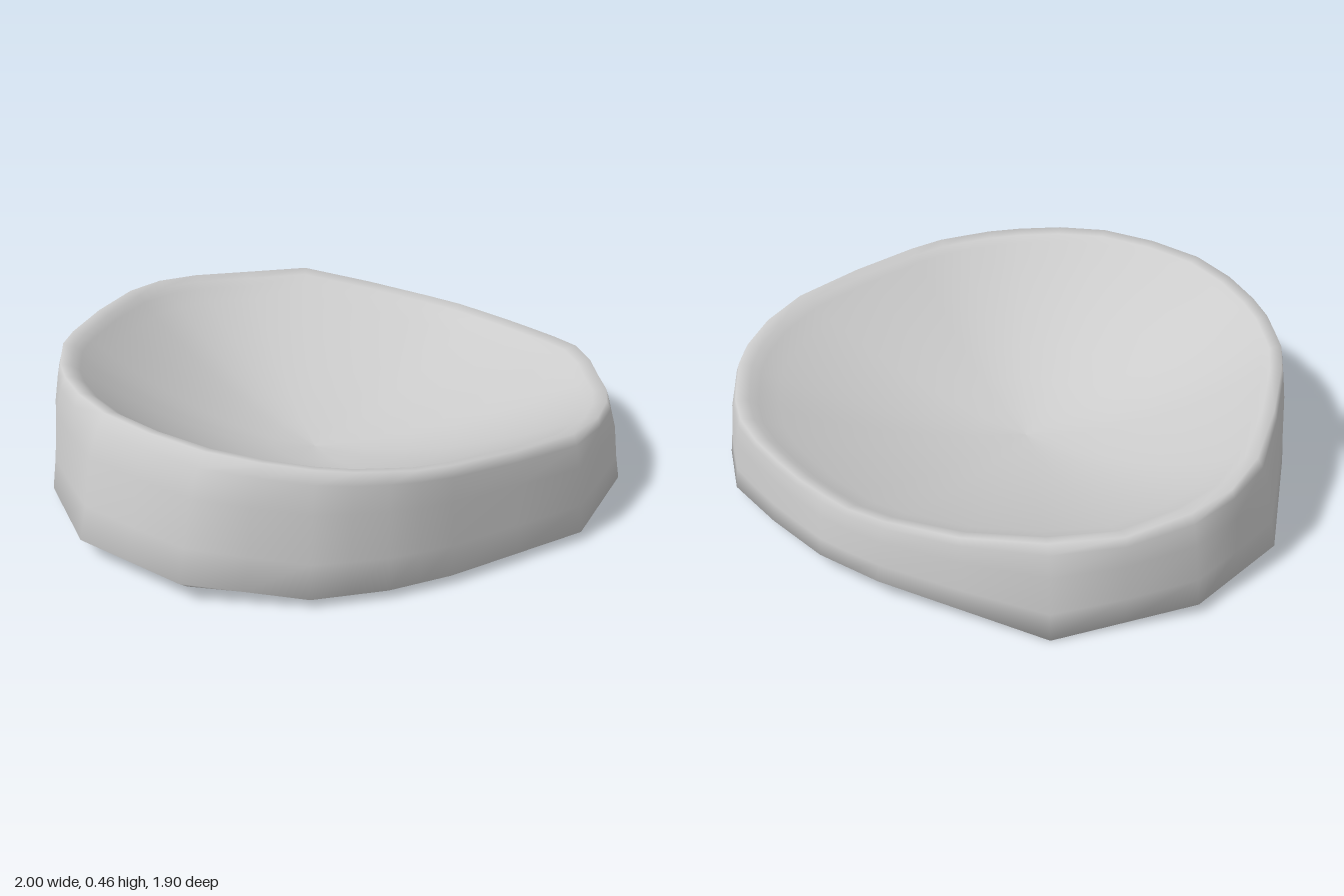
import * as THREE from 'three';

// Plan, clockwise from above: foot x, y, z, then rim x, z
const PLAN = [
  [-0.12, 0.06, -0.95, -0.12, -0.905], [0.11, 0.06, -0.95, 0.12, -0.905],
  [0.36, 0.05, -0.89, 0.35, -0.86], [0.60, 0.04, -0.81, 0.585, -0.775],
  [0.78, 0.03, -0.65, 0.76, -0.61], [0.94, 0.03, -0.45, 0.885, -0.42],
  [1.0, 0.03, -0.07, 0.93, -0.1], [0.80, 0.03, 0.38, 0.775, 0.36],
  [0.69, 0.03, 0.56, 0.66, 0.53], [0.53, 0.03, 0.74, 0.5, 0.675],
  [0.20, 0.07, 0.95, 0.2, 0.81], [-0.20, 0.07, 0.95, -0.2, 0.81],
  [-0.54, 0.03, 0.73, -0.5, 0.675], [-0.69, 0.03, 0.56, -0.66, 0.53],
  [-0.80, 0.03, 0.38, -0.775, 0.36], [-1.0, 0.03, -0.07, -0.93, -0.1],
  [-0.95, 0.03, -0.46, -0.885, -0.42], [-0.66, 0.0, -0.82, -0.61, -0.765],
];

// Rim height along z: the rim climbs towards the front
const RIM = [[-1, 0.235], [-0.9, 0.255], [-0.75, 0.3], [-0.62, 0.29], [0, 0.36], [0.65, 0.43], [0.83, 0.46], [1, 0.475]];
function rimHeight(z) {
  const i = RIM.findIndex(([end]) => z <= end);
  return THREE.MathUtils.mapLinear(z, RIM[i - 1][0], RIM[i][0], RIM[i - 1][1], RIM[i][1]);
}

// Around the bowl: angular foot below, smoothly curved rim above
const STEPS = 2, COUNT = PLAN.length * STEPS;
const rimCurve = new THREE.CatmullRomCurve3(
  PLAN.map((p) => new THREE.Vector3(p[3], 0, p[4])), true, 'catmullrom', 0.5);
const STATIONS = Array.from({ length: COUNT }, (_, i) => {
  const a = PLAN[Math.floor(i / STEPS)], b = PLAN[(Math.floor(i / STEPS) + 1) % PLAN.length];
  const foot = new THREE.Vector3(a[0], a[1], a[2])
    .lerp(new THREE.Vector3(b[0], b[1], b[2]), (i % STEPS) / STEPS);
  const rim = rimCurve.getPoint(i / COUNT);
  rim.y = rimHeight(rim.z);
  return { foot, rim };
});

// Skin a list of rings; each ring maps a station to a position
function skin(rings) {
  const positions = [], index = [];
  rings.forEach((ring, r) => STATIONS.forEach((station, i) => {
    positions.push(...ring(station));
    if (r + 1 === rings.length) return;
    const a = r * COUNT + i, b = r * COUNT + (i + 1) % COUNT;
    index.push(a, a + COUNT, b, b, a + COUNT, b + COUNT);
  }));
  const g = new THREE.BufferGeometry();
  g.setAttribute('position', new THREE.Float32BufferAttribute(positions, 3));
  g.setIndex(index);
  g.computeVertexNormals();
  return g;
}

const mix = THREE.MathUtils.lerp;

// Underside ring
const under = (s) => ({ foot }) => [foot.x * s, 0.03, foot.z * s];

// Wall ring: u moves inwards from foot to rim, t moves upwards
const wall = (u, t) => ({ foot, rim }) =>
  [mix(foot.x, rim.x, u), mix(foot.y, rim.y, t), mix(foot.z, rim.z, u)];

// Lip ring just inside the rim
const lip = (s, drop) => ({ rim }) => [rim.x * s, rim.y - drop, rim.z * s];

// Hollow ring: a dish sloping evenly down to a thin floor
const FLOOR = 0.04, EDGE = 0.925;
const hollow = (s) => ({ rim }) =>
  [rim.x * s, mix(FLOOR, rim.y - 0.03, (s / EDGE) ** 1.8), rim.z * s];

export function createModel() {
  const group = new THREE.Group();
  const material = new THREE.MeshStandardMaterial({ color: 0xcccccc, side: THREE.DoubleSide });

  // Underside, outer wall, rounded rim and hollow in one smooth skin
  const bowl = new THREE.Mesh(skin([
    ...[0, 0.45, 0.85, 0.95].map(under),
    wall(0, 0), wall(0.22, 0.28), wall(0.45, 0.68), wall(0.75, 0.9), wall(1, 1),
    lip(0.955, 0.01),
    ...[EDGE, 0.86, 0.77, 0.65, 0.5, 0.34, 0.17, 0].map(hollow),
  ]), material);
  bowl.name = 'bowl';
  group.add(bowl);
  return group;
}
